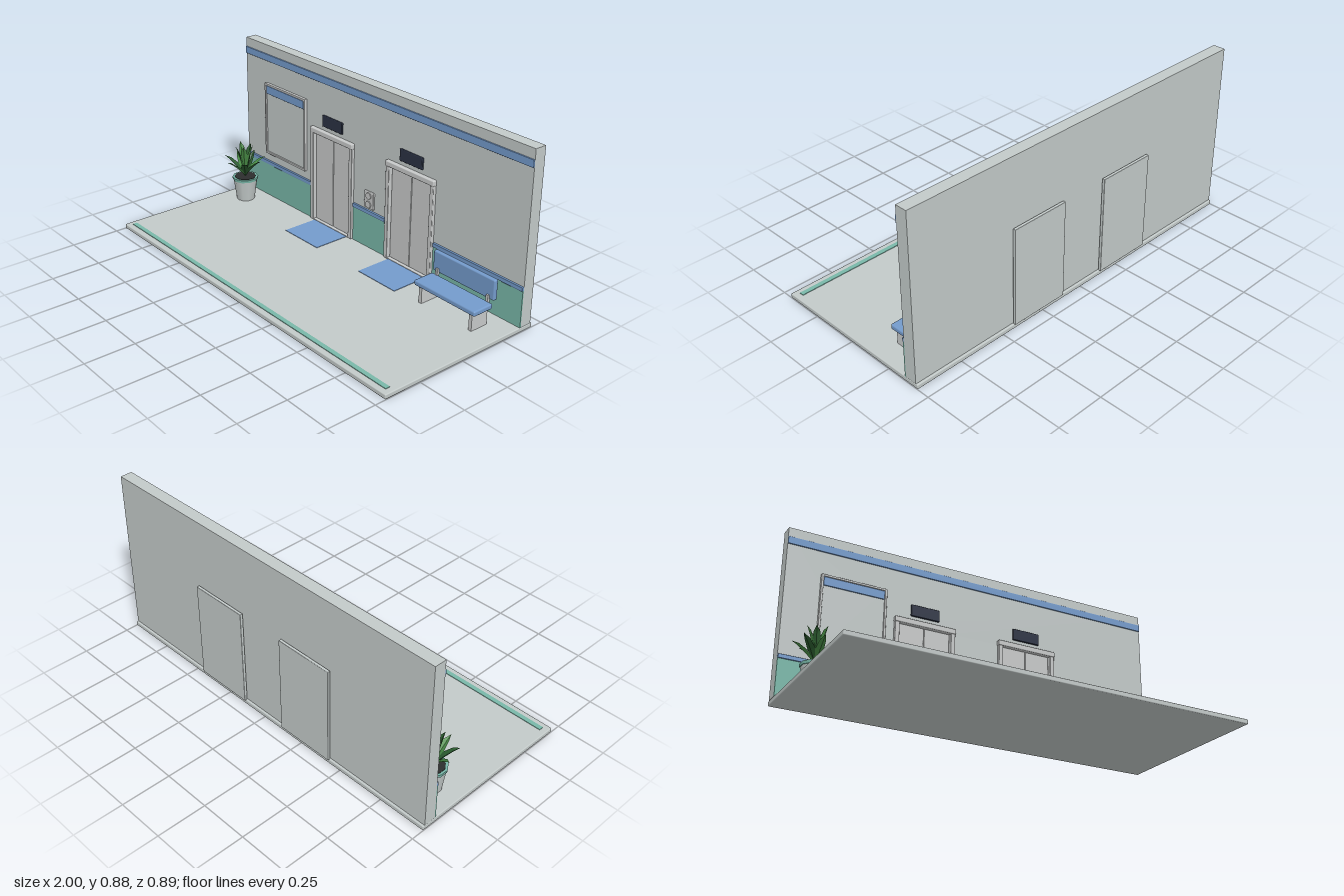
import * as THREE from 'three';
import { RoundedBoxGeometry } from 'three/addons/geometries/RoundedBoxGeometry.js';

const material = (name, color, extra = {}) => {
  const m = new THREE.MeshStandardMaterial({ color, ...extra });
  m.name = name;
  return m;
};

export function createModel() {
  const model = new THREE.Group();
  model.name = 'elevatorLobby';

  const wallGrey = material('wall grey', 0xc3cac9);
  const steel = material('steel', 0xc8caca);
  const blue = material('blue', 0x749bcc);
  const teal = material('teal', 0x79b8a9);
  const navy = material('dark display', 0x2b3244);
  const soilDark = material('soil', 0x2c2e2d);
  const leafDark = material('dark leaf', 0x2c5e30, { side: THREE.DoubleSide, flatShading: true });
  const leafLight = material('light leaf', 0x4a8f47, { side: THREE.DoubleSide, flatShading: true });

  const add = (parent, name, geometry, mat, x = 0, y = 0, z = 0) => {
    const mesh = new THREE.Mesh(geometry, mat);
    mesh.name = name;
    mesh.position.set(x, y, z);
    parent.add(mesh);
    return mesh;
  };
  // Box given by its limits on each axis, with an optional small bevel
  const box = (parent, name, mat, [x0, x1], [y0, y1], [z0, z1], bevel = 0) => {
    const w = x1 - x0, h = y1 - y0, d = z1 - z0;
    const geometry = bevel ? new RoundedBoxGeometry(w, h, d, 2, bevel) : new THREE.BoxGeometry(w, h, d);
    return add(parent, name, geometry, mat, (x0 + x1) / 2, (y0 + y1) / 2, (z0 + z1) / 2);
  };
  const group = (name, x = 0, y = 0, z = 0) => {
    const g = new THREE.Group();
    g.name = name;
    g.position.set(x, y, z);
    model.add(g);
    return g;
  };

  const FLOOR = 0.024, FACE = -0.363, BACK = -0.425;
  const LIFTS = [-0.283, 0.283];

  // Floor slab and edge line
  box(model, 'floor', wallGrey, [-1, 1], [0, FLOOR], [-0.436, 0.446], 0.005);
  box(model, 'floorLine', teal, [-0.97, 0.97], [FLOOR - 0.002, 0.027], [0.394, 0.418]);

  // Wall with two doorways
  const outline = new THREE.Shape([
    [-1, FLOOR], [1, FLOOR], [1, 0.878], [-1, 0.878],
  ].map(([x, y]) => new THREE.Vector2(x, y)));
  for (const x of LIFTS) {
    outline.holes.push(new THREE.Path([
      [x - 0.145, 0.027], [x - 0.145, 0.52], [x + 0.145, 0.52], [x + 0.145, 0.027],
    ].map(([px, py]) => new THREE.Vector2(px, py))));
  }
  add(model, 'wall', new THREE.ExtrudeGeometry(outline, { depth: FACE - BACK, bevelEnabled: false }), wallGrey, 0, 0, BACK);
  box(model, 'upperStripe', blue, [-1, 1], [0.792, 0.829], [FACE - 0.002, -0.357], 0.002);

  // Wainscot and rail between the doorways
  for (const span of [[-1, -0.448], [-0.118, 0.118], [0.448, 1]]) {
    box(model, 'wainscot', teal, span, [FLOOR, 0.21], [FACE - 0.002, -0.357]);
    box(model, 'wainscotRail', blue, span, [0.207, 0.228], [FACE - 0.002, -0.352], 0.003);
  }

  // Elevators
  for (const x of LIFTS) {
    const lift = group('elevator', x);
    for (const s of [-1, 1]) {
      const jamb = box(lift, 'doorJamb', steel, [-0.012, 0.012], [FLOOR, 0.52], [-0.38, -0.346], 0.004);
      jamb.position.x = s * 0.149;
      const door = box(lift, 'slidingDoor', steel, [-0.0675, 0.0675], [0.028, 0.518], [-0.386, -0.366], 0.003);
      door.position.x = s * 0.0685;
    }
    box(lift, 'doorHeader', steel, [-0.163, 0.163], [0.515, 0.543], [-0.38, -0.342], 0.005);
    box(lift, 'threshold', steel, [-0.14, 0.14], [FLOOR - 0.002, 0.029], [-0.38, -0.347]);
    box(lift, 'shaftPanel', wallGrey, [-0.155, 0.155], [0.026, 0.531], [-0.446, -0.43], 0.003);
    box(lift, 'shaftFilling', steel, [-0.14, 0.14], [0.03, 0.515], [-0.431, -0.42]);
    box(lift, 'floorDisplay', navy, [-0.076, 0.076], [0.566, 0.627], [FACE - 0.002, -0.353], 0.004);
    box(lift, 'doorMat', blue, [-0.126, 0.126], [FLOOR - 0.002, 0.0265], [-0.347, -0.153]);
  }

  // Call panel with two round buttons
  const call = group('callPanel');
  box(call, 'callPlate', steel, [-0.034, 0.034], [0.24, 0.33], [FACE - 0.002, -0.353], 0.004);
  for (const y of [0.308, 0.262]) {
    add(call, 'callButton', new THREE.CylinderGeometry(0.018, 0.018, 0.006, 20), steel, 0, y, -0.351).rotation.x = Math.PI / 2;
  }

  // Notice board
  const board = group('noticeBoard');
  box(board, 'boardPanel', wallGrey, [-0.82, -0.5], [0.28, 0.665], [FACE - 0.002, -0.355]);
  for (const x of [-0.821, -0.497]) box(board, 'boardSide', steel, [x - 0.006, x + 0.006], [0.274, 0.671], [FACE - 0.002, -0.347], 0.003);
  for (const y of [0.28, 0.666]) box(board, 'boardRail', steel, [-0.826, -0.491], [y - 0.006, y + 0.006], [FACE - 0.002, -0.347], 0.003);
  box(board, 'boardHeading', blue, [-0.814, -0.504], [0.615, 0.659], [-0.356, -0.349], 0.002);

  // Bench
  const bench = group('bench', 0.718);
  box(bench, 'benchSeat', blue, [-0.188, 0.188], [0.109, 0.136], [-0.276, -0.159], 0.008);
  box(bench, 'benchBack', blue, [-0.188, 0.188], [0.146, 0.249], [-0.302, -0.278], 0.007);
  for (const x of [-0.156, 0.156]) {
    box(bench, 'benchLeg', steel, [x - 0.009, x + 0.009], [FLOOR, 0.112], [-0.269, -0.171]);
    box(bench, 'backSupport', steel, [x - 0.007, x + 0.007], [0.11, 0.168], [-0.283, -0.268], 0.002);
  }

  // Potted plant
  const plant = group('pottedPlant', -0.865, 0, -0.235);
  const ring = (name, top, bottom, y0, y1, mat) =>
    add(plant, name, new THREE.CylinderGeometry(top, bottom, y1 - y0, 10), mat, 0, (y0 + y1) / 2, 0);
  ring('pot', 0.066, 0.048, FLOOR, 0.151, wallGrey);
  ring('potRim', 0.07, 0.068, 0.138, 0.153, teal);
  ring('soil', 0.058, 0.058, 0.145, 0.155, soilDark);

  // Leaf folded along its middle, bending outwards to its tip
  const leafGeometry = (reach, height, width) => {
    const rows = [[0, 0, 0.2], [0.42, 0.5, 1], [0.75, 0.82, 0.7], [1, 1, 0]];
    const points = [], faces = [];
    rows.forEach(([r, h, w], i) => {
      for (const s of [-1, 0, 1]) points.push(r * reach - Math.abs(s) * w * 0.006, h * height + Math.abs(s) * w * 0.007, s * w * width / 2);
      if (i) for (const k of [0, 1]) {
        const a = (i - 1) * 3 + k;
        faces.push(a, a + 1, a + 4, a, a + 4, a + 3);
      }
    });
    const g = new THREE.BufferGeometry();
    g.setAttribute('position', new THREE.Float32BufferAttribute(points, 3));
    g.setIndex(faces);
    g.computeVertexNormals();
    return g;
  };
  // Rings of leaves: count, reach, height, width, turn
  const rings = [[7, 0.112, 0.11, 0.04, 0.22], [5, 0.05, 0.185, 0.042, 0.5]];
  rings.forEach(([count, reach, height, width, turn], r) => {
    for (let i = 0; i < count; i++) {
      const geometry = leafGeometry(reach, height * (1 - 0.06 * (i % 2)), width);
      const leaf = add(plant, r ? 'innerLeaf' : 'outerLeaf', geometry, (i + r) % 2 ? leafLight : leafDark, 0, 0.155, 0);
      leaf.rotation.y = turn + (i / count) * Math.PI * 2;
    }
  });

  return model;
}
